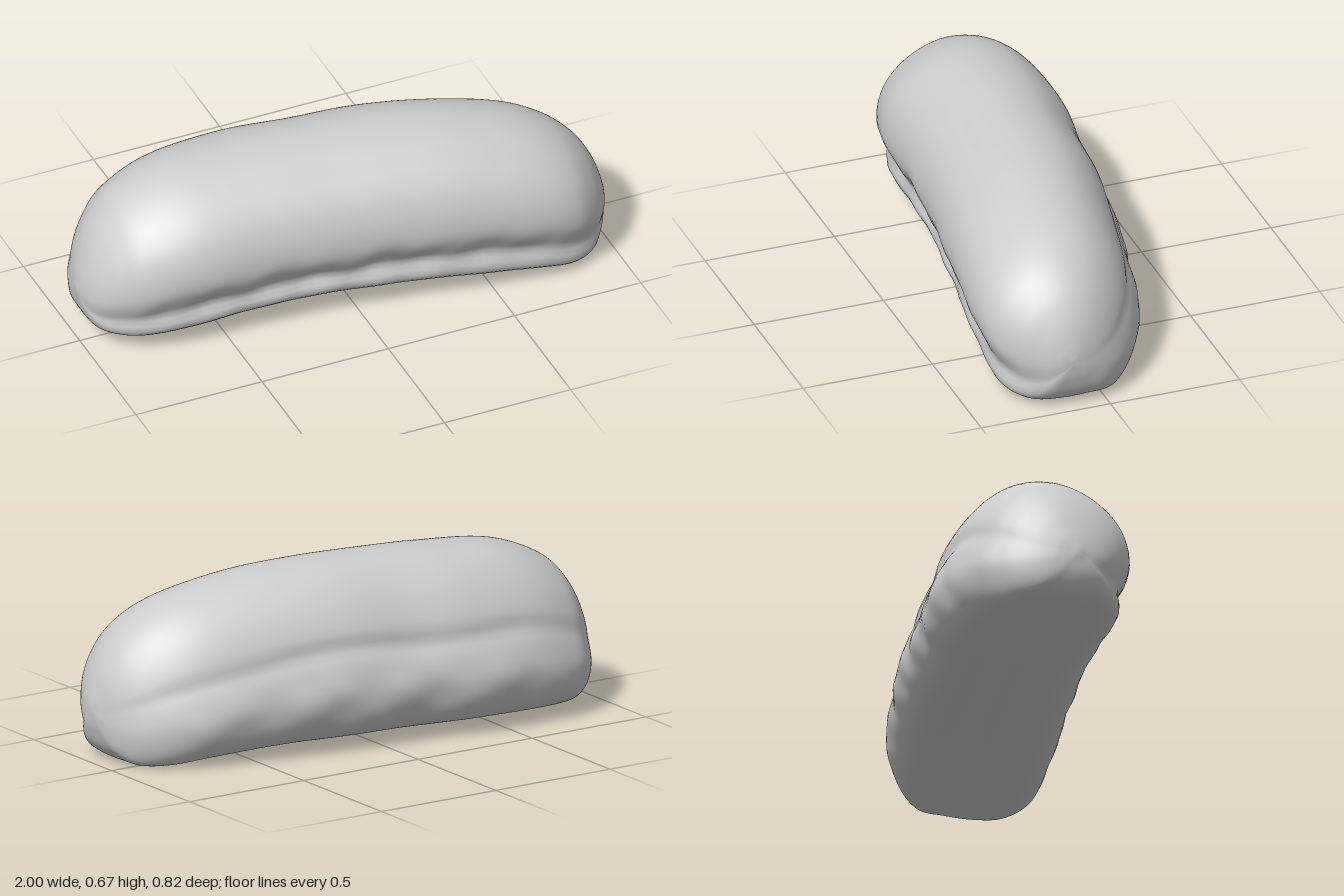
import * as THREE from 'three';

// Stations along the loaf: x, back z, front z, bottom y, top y
const STATIONS = [
  [-1.0, -0.04, -0.02, 0.19, 0.22],
  [-0.985, -0.13, 0.05, 0.12, 0.29],
  [-0.95, -0.22, 0.11, 0.065, 0.385],
  [-0.89, -0.3, 0.17, 0.04, 0.48],
  [-0.8, -0.365, 0.225, 0.03, 0.56],
  [-0.62, -0.41, 0.272, 0.035, 0.63],
  [-0.35, -0.408, 0.29, 0.04, 0.658],
  [-0.1, -0.365, 0.312, 0.04, 0.664],
  [0.15, -0.343, 0.345, 0.04, 0.664],
  [0.4, -0.295, 0.38, 0.037, 0.645],
  [0.65, -0.24, 0.405, 0.02, 0.595],
  [0.8, -0.18, 0.395, 0.003, 0.53],
  [0.9, -0.1, 0.335, 0.006, 0.445],
  [0.96, -0.015, 0.26, 0.05, 0.35],
  [0.99, 0.07, 0.2, 0.12, 0.26],
  [1.0, 0.12, 0.15, 0.18, 0.21],
];

// Cross-section: depth (-1 back .. 1 front) and height (0 .. 1)
const SECTION = [
  [0.3, 0.0], [0.7, 0.035], [0.84, 0.09], [0.87, 0.15], [0.85, 0.22], [0.92, 0.32],
  [0.99, 0.44], [0.98, 0.57], [0.89, 0.71], [0.7, 0.84], [0.4, 0.95], [0.02, 1.0],
  [-0.35, 0.95], [-0.64, 0.81], [-0.81, 0.65], [-0.87, 0.54], [-0.93, 0.45],
  [-1.0, 0.3], [-0.94, 0.15], [-0.77, 0.03], [-0.3, 0.0],
];

const bump = (v, centre, width) => Math.exp(-(((v - centre) / width) ** 2));

function loafGeometry(steps = 150, sides = 110) {
  const curve = (pick) => new THREE.CatmullRomCurve3(
    STATIONS.map((s) => new THREE.Vector3(...pick(s))), false, 'catmullrom', 0.5);
  const low = curve(([x, back, , bottom]) => [x, bottom, back]);
  const high = curve(([x, , front, , top]) => [x, top, front]);
  const ring = new THREE.CatmullRomCurve3(
    SECTION.map(([u, v]) => new THREE.Vector3(u, v, 0)), true).getSpacedPoints(sides);

  const pos = [], index = [];
  for (let i = 0; i <= steps; i++) {
    const a = low.getPoint(i / steps), b = high.getPoint(i / steps);
    const x = a.x, mid = (a.z + b.z) / 2, half = (b.z - a.z) / 2, tall = b.y - a.y;
    const middle = Math.max(0, 1 - x * x);
    for (let j = 0; j < sides; j++) {
      const u = ring[j].x, v = ring[j].y;
      let z = mid + u * half, y = a.y + v * tall;
      // wavy base lip and folds in the lower crust
      const fold = Math.sin(x * 17 + v * 9) * 0.5 + Math.sin(x * 31 - v * 14 + 1) * 0.3;
      z += Math.sign(u) * bump(v, 0.25, 0.17) * fold * 0.012 * middle * Math.min(1, Math.abs(u) * 1.5);
      // tucked front and raised front base edge
      if (u > 0) {
        z -= bump(v, 0.25, 0.09) * 0.02 * middle * u;
        y += 0.055 * bump(v, 0, 0.2) * bump(x, -0.2, 0.55) * u * u;
      }
      // seam along the back and shallow dent along the upper front
      if (u < -0.5) z += bump(v, 0.54 + 0.02 * Math.sin(x * 8), 0.05) * 0.014 * middle;
      if (u > 0) y -= bump(z, 0.17 + x * 0.1, 0.035) * bump(x, 0.03, 0.3) * bump(v, 0.87, 0.15) * 0.007;
      pos.push(x, y, z);
    }
  }
  for (let i = 0; i < steps; i++) {
    for (let j = 0; j < sides; j++) {
      const k = (j + 1) % sides;
      const a = i * sides + j, b = a + sides, c = i * sides + k, d = c + sides;
      index.push(a, b, c, c, b, d);
    }
  }
  // close both ends
  for (const end of [0, steps]) {
    const s = STATIONS[end ? STATIONS.length - 1 : 0], centre = pos.length / 3;
    pos.push(s[0], (s[3] + s[4]) / 2, (s[1] + s[2]) / 2);
    for (let j = 0; j < sides; j++) {
      const p = end * sides + j, q = end * sides + ((j + 1) % sides);
      index.push(centre, ...(end ? [q, p] : [p, q]));
    }
  }
  const geometry = new THREE.BufferGeometry();
  geometry.setAttribute('position', new THREE.Float32BufferAttribute(pos, 3));
  geometry.setIndex(index);
  geometry.computeVertexNormals();
  return geometry;
}

export function createModel() {
  const group = new THREE.Group();
  group.name = 'breadLoaf';
  const loaf = new THREE.Mesh(loafGeometry(), new THREE.MeshStandardMaterial({ color: 0xcccccc }));
  loaf.name = 'loaf';
  group.add(loaf);
  return group;
}
